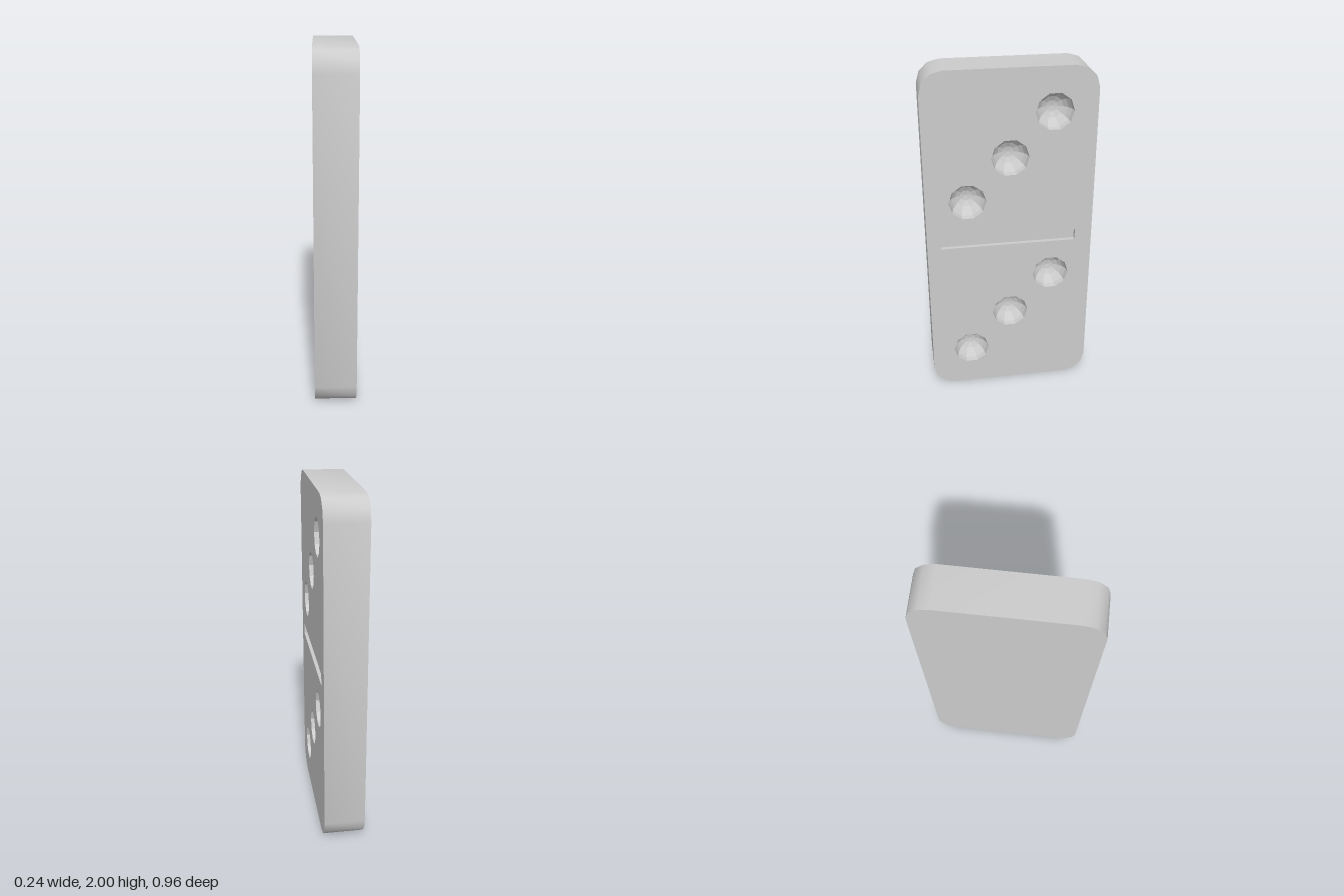
import * as THREE from 'three';
import { toCreasedNormals } from 'three/addons/utils/BufferGeometryUtils.js';

const HALF_T = 0.118, HALF_W = 0.478, HEIGHT = 2, CORNER = 0.128;
const PIP_R = 0.106, PIP_SIDES = 10, PIP_DEPTH = 0.1;
const GROOVE = { u0: -0.4, u1: 0.38, y0: 0.968, y1: 1.036, depth: 0.024 };

// Shapes are drawn in (u, y) and turned so that u runs along -z and the face looks to +x.
const toSide = (geometry) => geometry.rotateY(Math.PI / 2);

// Counter-clockwise outline with three-step rounded corners
function outlinePoints() {
  const pts = [];
  const u = HALF_W - CORNER, top = HEIGHT - CORNER;
  [[u, top], [-u, top], [-u, CORNER], [u, CORNER]].forEach(([cu, cy], i) => {
    for (let k = 0; k <= 3; k++) {
      const a = (i + k / 3) * Math.PI / 2;
      pts.push(new THREE.Vector2(cu + CORNER * Math.cos(a), cy + CORNER * Math.sin(a)));
    }
  });
  return pts;
}

// Closed strip of quads along an outline; a clockwise outline faces inwards
function wall(pts, x0, x1) {
  const pos = [];
  pts.forEach((p, i) => {
    const q = pts[(i + 1) % pts.length];
    pos.push(p.x, p.y, x0, q.x, q.y, x0, q.x, q.y, x1);
    pos.push(p.x, p.y, x0, q.x, q.y, x1, p.x, p.y, x1);
  });
  const g = new THREE.BufferGeometry();
  g.setAttribute('position', new THREE.Float32BufferAttribute(pos, 3));
  g.computeVertexNormals();
  return toSide(toCreasedNormals(g, 0.6));
}

// Faceted bowl, open towards +x
function pipGeometry() {
  const profile = [];
  for (let k = 5; k >= 0; k--) {
    const a = k * Math.PI / 10;
    profile.push(new THREE.Vector2(k ? PIP_R * Math.sin(a) : 0, k === 5 ? 0 : -PIP_DEPTH * Math.cos(a)));
  }
  return new THREE.LatheGeometry(profile, PIP_SIDES).rotateZ(-Math.PI / 2);
}

export function createModel() {
  const model = new THREE.Group();
  model.name = 'dominoTile';
  const smooth = new THREE.MeshStandardMaterial({ color: 0xcccccc });
  const flat = new THREE.MeshStandardMaterial({ color: 0xcccccc, flatShading: true });
  const add = (name, geometry, material = smooth) => {
    const mesh = new THREE.Mesh(geometry, material);
    mesh.name = name;
    model.add(mesh);
    return mesh;
  };

  // Three pips on a diagonal, on each half
  const pips = [];
  for (const base of [0.5, 1.5]) {
    for (const step of [-1, 0, 1]) pips.push({ u: step * 0.241, y: base + 0.003 + step * 0.25 });
  }

  // Tile body: rim, plain back, and face with openings
  const outline = outlinePoints();
  add('rim', wall(outline, -HALF_T, HALF_T));
  const back = new THREE.ShapeGeometry(new THREE.Shape(outline));
  add('back', back.rotateY(-Math.PI / 2).translate(-HALF_T, 0, 0));

  const { u0, u1, y0, y1, depth } = GROOVE;
  const groovePts = [[u0, y0], [u0, y1], [u1, y1], [u1, y0]].map(([u, y]) => new THREE.Vector2(u, y));
  const face = new THREE.Shape(outline);
  face.holes.push(new THREE.Path(groovePts));
  for (const { u, y } of pips) {
    const ring = [];
    for (let k = 0; k < PIP_SIDES; k++) {
      const a = -k * 2 * Math.PI / PIP_SIDES;
      ring.push(new THREE.Vector2(u + PIP_R * Math.cos(a), y + PIP_R * Math.sin(a)));
    }
    face.holes.push(new THREE.Path(ring));
  }
  add('face', toSide(new THREE.ShapeGeometry(face)).translate(HALF_T, 0, 0));

  // Dividing groove across the middle
  add('grooveWalls', wall(groovePts, HALF_T - depth, HALF_T));
  const floor = new THREE.PlaneGeometry(u1 - u0, y1 - y0).translate((u0 + u1) / 2, (y0 + y1) / 2, 0);
  add('grooveFloor', toSide(floor).translate(HALF_T - depth, 0, 0));

  // Pip hollows
  const bowl = pipGeometry();
  for (const { u, y } of pips) add('pip', bowl, flat).position.set(HALF_T, y, -u);

  return model;
}
